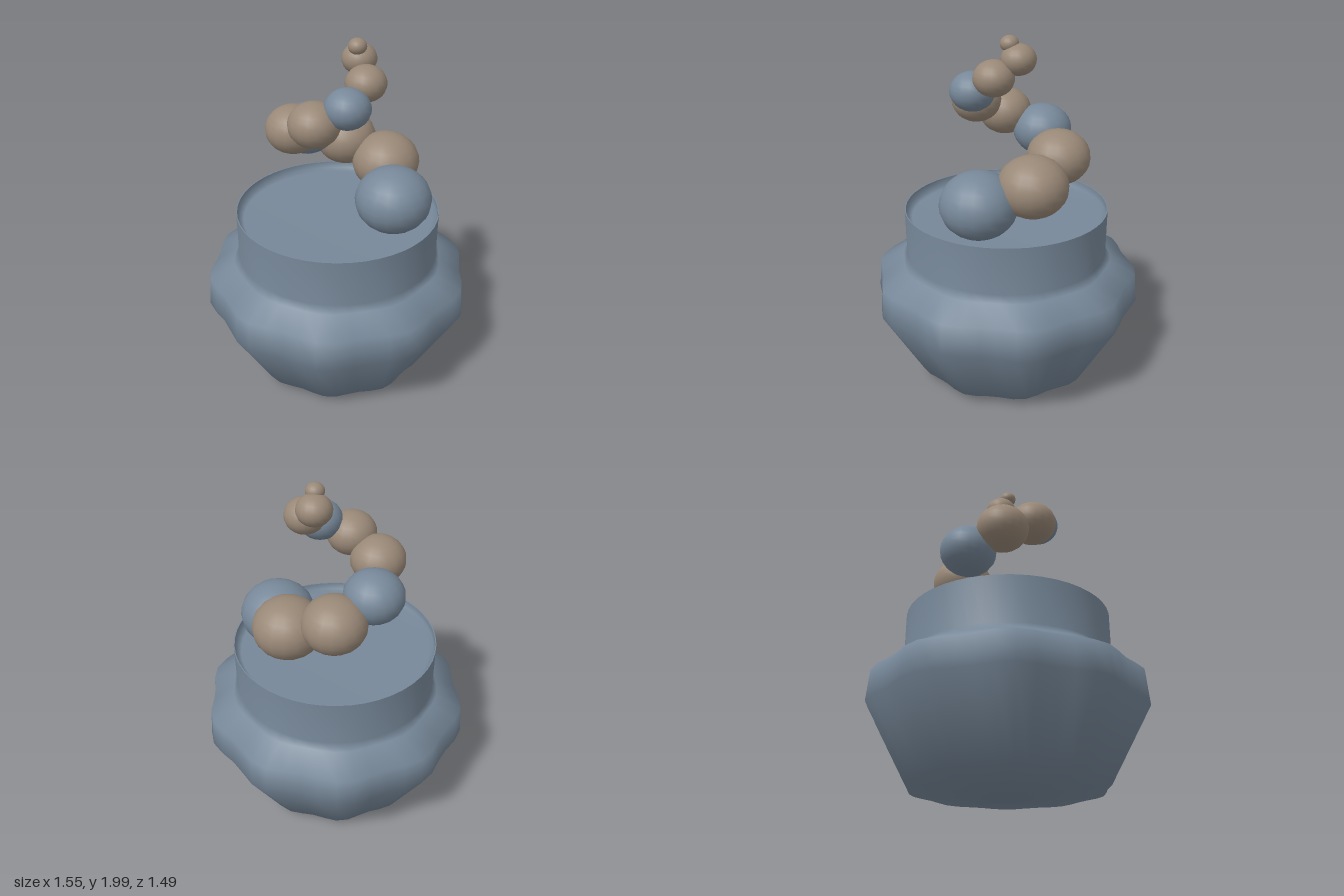
import * as THREE from 'three';
import { mergeVertices } from 'three/addons/utils/BufferGeometryUtils.js';

const SEGMENTS = 48;

// Turned surface with an optional ten-lobed swelling; each profile row is [radius, y, lobe depth]
function turned(rows, material, name) {
  const points = rows.map(([r, y]) => new THREE.Vector2(r, y));
  let geometry = new THREE.LatheGeometry(points, SEGMENTS);
  const pos = geometry.attributes.position;
  for (let i = 0; i < pos.count; i++) {
    const depth = rows[i % rows.length][2] ?? 0;
    const x = pos.getX(i), z = pos.getZ(i);
    const k = 1 + depth * Math.cos(10 * Math.atan2(z, x));
    pos.setXYZ(i, x * k, pos.getY(i), z * k);
  }
  // Weld the seam so the shading stays smooth all round
  geometry.deleteAttribute('uv');
  geometry.deleteAttribute('normal');
  geometry = mergeVertices(geometry, 1e-5);
  geometry.computeVertexNormals();
  const mesh = new THREE.Mesh(geometry, material);
  mesh.name = name;
  return mesh;
}

export function createModel() {
  const model = new THREE.Group();
  model.name = 'lobedPot';

  const slate = new THREE.MeshStandardMaterial({ color: 0x778899 });
  slate.name = 'slateBlue';
  const tan = new THREE.MeshStandardMaterial({ color: 0x998877 });
  tan.name = 'warmTan';

  // Lobed bowl rising into a round neck
  const lobe = 0.0265;
  model.add(turned([
    [0, 0.005, 0],
    [0.531, 0.062, lobe],
    [0.755, 0.47, lobe],
    [0.741, 0.64, lobe],
    [0.605, 0.715, 0.012],
    [0.58, 0.755, 0],
    [0.58, 1.022, 0],
  ], slate, 'potBody'));

  // Thin lip around the mouth
  model.add(turned([[0.58, 1.022], [0.574, 1.022]], slate, 'rim'));

  // Shallow recessed lid
  model.add(turned([
    [0.574, 1.022],
    [0.572, 0.98],
    [0.54, 0.968],
    [0, 0.968],
  ], slate, 'lid'));

  // Spiral of shrinking, slightly flattened beads: [x, y, z, radius, material]
  const beads = new THREE.Group();
  beads.name = 'beadSpiral';
  const bead = new THREE.SphereGeometry(1, 18, 14);
  [
    [0.335, 1.143, 0, 0.213, slate],
    [0.195, 1.24, -0.25, 0.194, tan],
    [-0.07, 1.33, -0.285, 0.178, tan],
    [-0.24, 1.423, -0.115, 0.167, slate],
    [-0.212, 1.513, 0.11, 0.153, tan],
    [-0.042, 1.603, 0.205, 0.14, tan],
    [0.118, 1.693, 0.143, 0.124, slate],
    [0.158, 1.785, -0.005, 0.111, tan],
    [0.078, 1.876, -0.108, 0.095, tan],
    [0.086, 1.955, -0.06, 0.05, tan],
  ].forEach(([x, y, z, r, material], i) => {
    const mesh = new THREE.Mesh(bead, material);
    mesh.name = `bead${i + 1}`;
    mesh.position.set(x, y, z);
    mesh.scale.set(r, r * 0.87, r);
    beads.add(mesh);
  });
  model.add(beads);

  return model;
}
